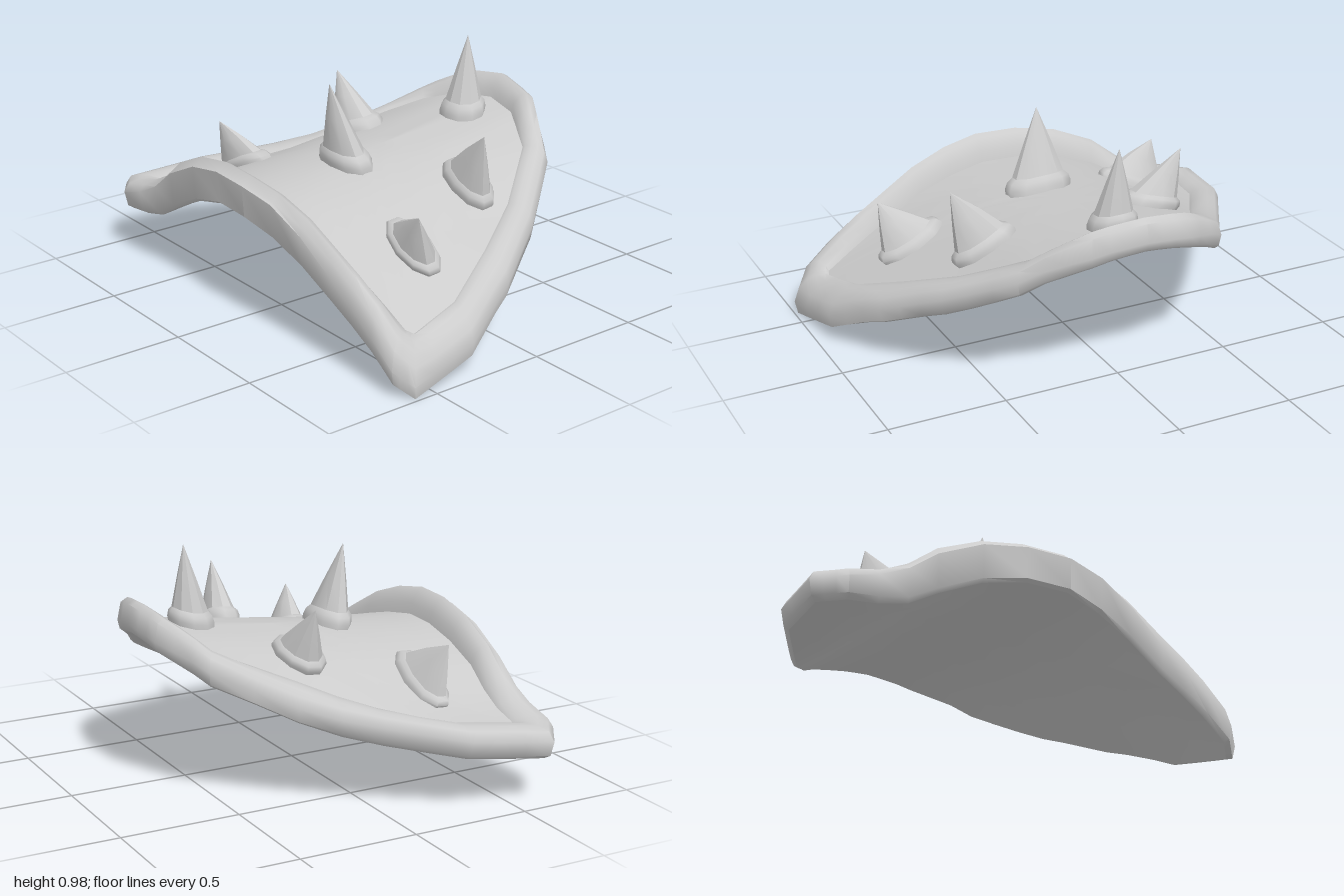
import * as THREE from 'three';
import { toCreasedNormals } from 'three/addons/utils/BufferGeometryUtils.js';

const material = new THREE.MeshStandardMaterial({ color: 0xcccccc });

// Fall of the plate from its ridge across z: z, drop
const fall = [[-1, 0.255], [-0.7, 0.215], [-0.6, 0.185], [-0.45, 0.1], [-0.35, 0.06], [-0.18, 0.018],
  [0, 0], [0.18, 0.02], [0.37, 0.075], [0.55, 0.172], [0.7, 0.248], [0.86, 0.345], [1, 0.475]];

// Height of the curved plate: a slightly sagging ridge rising along x, falling to both sides
function plateY(x, z) {
  let i = 0;
  while (i < fall.length - 2 && z > fall[i + 1][0]) i++;
  const [[z0, d0], [z1, d1]] = [fall[i], fall[i + 1]];
  return 0.588 + 0.11 * x + 0.038 * x * x - d0 - (d1 - d0) * (z - z0) / (z1 - z0);
}

// Skin between closed loops of points, ordered from the top centre outwards
function loft(name, rings, crease) {
  const pos = [];
  const n = rings[0].length;
  const tri = (a, b, c) => {
    if (a.distanceTo(b) < 1e-6 || b.distanceTo(c) < 1e-6 || a.distanceTo(c) < 1e-6) return;
    for (const p of [a, b, c]) pos.push(p.x, p.y, p.z);
  };
  for (let r = 0; r < rings.length - 1; r++) {
    for (let i = 0; i < n; i++) {
      const j = (i + 1) % n;
      tri(rings[r][i], rings[r][j], rings[r + 1][i]);
      tri(rings[r][j], rings[r + 1][j], rings[r + 1][i]);
    }
  }
  const geo = new THREE.BufferGeometry();
  geo.setAttribute('position', new THREE.Float32BufferAttribute(pos, 3));
  const mesh = new THREE.Mesh(toCreasedNormals(geo, crease), material);
  mesh.name = name;
  return mesh;
}

// Outline corners: outer x, outer z, inner x, inner z
const corners = [
  [-0.63, -1.0, -0.54, -0.84], [-0.29, -0.94, -0.29, -0.79], [0.14, -0.685, 0.1, -0.56],
  [0.58, -0.42, 0.52, -0.33], [0.71, -0.2, 0.6, -0.18], [0.735, 0, 0.625, 0],
  [0.69, 0.22, 0.6, 0.16], [0.54, 0.46, 0.48, 0.37], [0.27, 0.67, 0.23, 0.56],
  [0, 0.83, 0, 0.69], [-0.28, 0.95, -0.27, 0.82], [-0.6, 0.995, -0.5, 0.865],
  [-0.66, 0.93, -0.53, 0.855], [-0.68, 0.58, -0.58, 0.55], [-0.74, 0.09, -0.63, 0.08],
  [-0.705, -0.5, -0.6, -0.45], [-0.71, -0.88, -0.55, -0.82],
];

// Corners with two points added along every side
const outline = [];
corners.forEach((c, i) => {
  const next = corners[(i + 1) % corners.length];
  for (let k = 0; k < 3; k++) outline.push(c.map((v, m) => v + (next[m] - v) * k / 3));
});

// Loop at fraction f from inner to outer outline, shrunk to the centre by s;
// offset gives the lift from the plate at each outline point
function ring(f, s, offset) {
  return outline.map(([ox, oz, ix, iz]) => {
    const x = (ix + (ox - ix) * f) * s;
    const z = (iz + (oz - iz) * f) * s;
    return new THREE.Vector3(x, plateY(x, z) + offset(ix, oz), z);
  });
}

// The rim stands high at the straight end and the tip, low along the sides
const { smoothstep } = THREE.MathUtils;
const straightEnd = (x, z) => smoothstep(-x, 0.45, 0.62) * (1 - smoothstep(-z, 0.4, 0.95));
const crest = (x, z) => 0.028 + 0.088 * straightEnd(x, z) + 0.055 * smoothstep(x, 0.46, 0.62);
const edge = (x, z) => -0.015 + 0.1 * straightEnd(x, z) * (1 - smoothstep(z, 0.2, 0.9));
const bottom = (x, z) => -0.055 - 0.042 * smoothstep(Math.abs(z), 0, 0.7);

// Spike rising from a flared collar that hugs the plate
function spike(x, z, rx, rz, tip) {
  const sides = 10;
  const base = new THREE.Vector3(x, plateY(x, z), z);
  const lean = new THREE.Vector3(...tip).sub(base);
  const loop = (k, t) => Array.from({ length: sides }, (_, i) => {
    const a = i / sides * Math.PI * 2;
    const px = x + Math.cos(a) * rx * k;
    const pz = z + Math.sin(a) * rz * k;
    return new THREE.Vector3(px, plateY(px, pz), pz).addScaledVector(lean, t);
  });
  const group = new THREE.Group();
  group.name = 'spike';
  group.add(
    loft('spikeCone', [loop(0, 1), loop(0.42, 0.57), loop(0.77, 0.19)], 0.5),
    loft('spikeCollar', [loop(0.77, 0.19), loop(0.93, 0.14), loop(1, 0.06), loop(0.95, -0.08)], 1.2),
  );
  return group;
}

export function createModel() {
  const model = new THREE.Group();
  model.name = 'spikedShoulderPlate';

  // Top panel
  const steps = [0, 0.17, 0.33, 0.5, 0.67, 0.83, 1];
  model.add(loft('topPanel', steps.map((s) => ring(0, s, () => 0)), 1));

  // Raised rounded rim: fraction outwards, share of the crest height
  const over = [[0, 0], [0.1, 0.4], [0.35, 0.85], [0.6, 1], [0.86, 0.75]];
  model.add(loft('rim', [
    ...over.map(([f, share]) => ring(f, 1, (x, z) => crest(x, z) * share)),
    ring(1, 1, edge),
    ring(0.92, 1, (x, z) => bottom(x, z) * 0.8),
    ring(0.76, 1, bottom),
  ], 0.9));

  // Hollow underside
  model.add(loft('underside',
    [...steps].reverse().map((s) => ring(0.76, s, (x, z) => -0.05 + (bottom(x, z) + 0.05) * s)), 1));

  // Spikes: base x, base z, radii, tip
  const spikes = [
    [-0.18, 0.025, 0.085, 0.15, [-0.245, 0.9, 0.0]],
    [0.455, 0.01, 0.095, 0.105, [0.49, 0.975, 0]],
    [-0.27, 0.57, 0.085, 0.14, [-0.34, 0.56, 0.69]],
    [0.138, 0.415, 0.082, 0.135, [0.105, 0.75, 0.55]],
    [-0.32, -0.505, 0.08, 0.165, [-0.37, 0.6, -0.63]],
    [0.145, -0.325, 0.1, 0.135, [0.148, 0.77, -0.475]],
  ];
  for (const s of spikes) model.add(spike(...s));

  return model;
}
